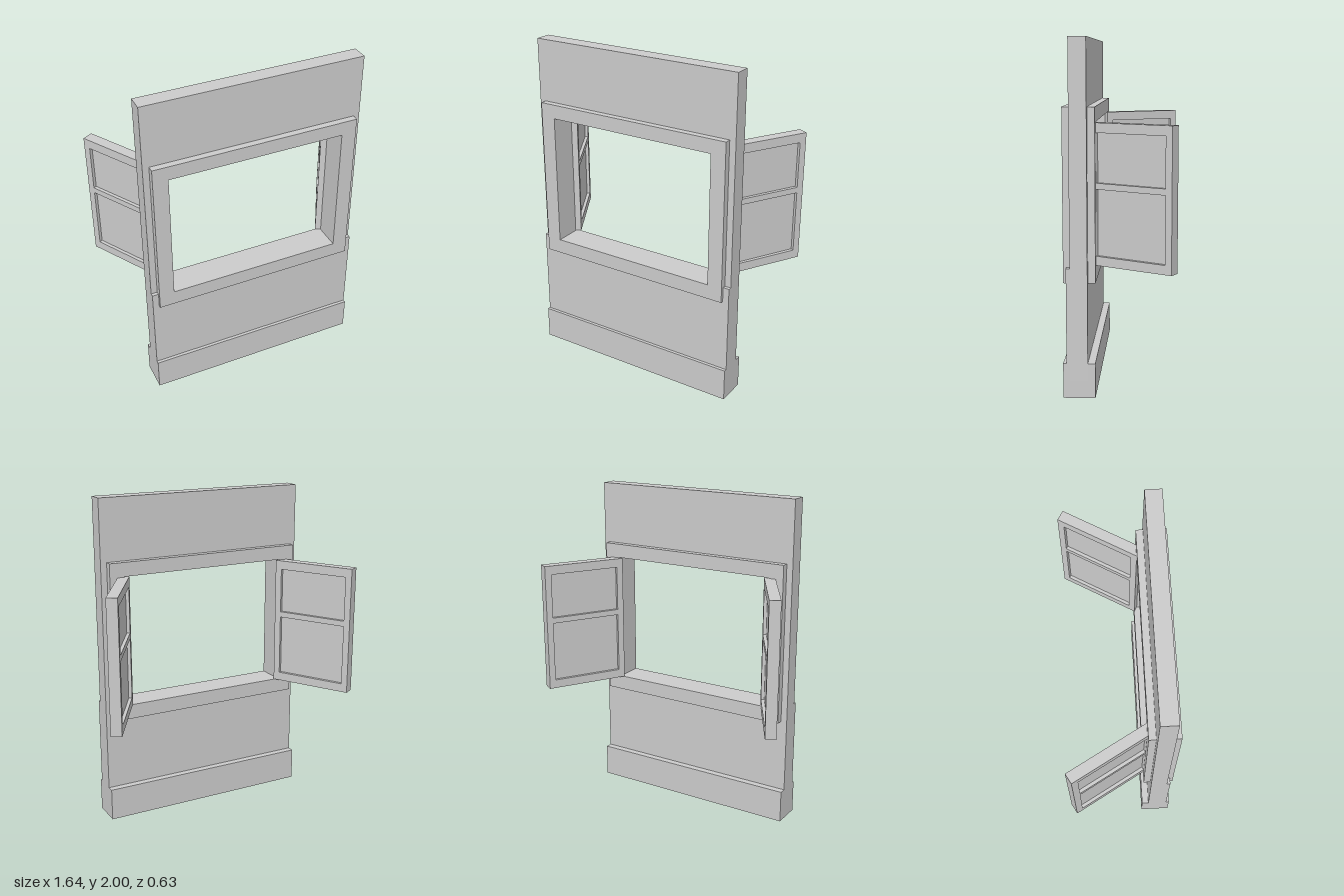
import * as THREE from 'three';

const material = new THREE.MeshStandardMaterial({ color: 0xcccccc, flatShading: true });

// Closed outline from [x, y] points
const outline = (Type, pts) => new Type(pts.map(([x, y]) => new THREE.Vector2(x, y)));
const rect = (Type, x0, x1, y0, y1) => outline(Type, [[x0, y0], [x1, y0], [x1, y1], [x0, y1]]);

// Flat slab from z0 to z1 with optional rectangular holes [x0, x1, y0, y1]
function slab(name, shape, z0, z1, holes = []) {
  holes.forEach((h) => shape.holes.push(rect(THREE.Path, ...h)));
  const geometry = new THREE.ExtrudeGeometry(shape, { depth: z1 - z0, bevelEnabled: false });
  geometry.translate(0, 0, z0);
  const mesh = new THREE.Mesh(geometry, material);
  mesh.name = name;
  return mesh;
}

// Shutter leaf: hinge edge at x = 0, thickness centred on z = 0
const LENGTH = 0.522, THICK = 0.065;
function shutter(name) {
  const leaf = new THREE.Group();
  leaf.name = name;
  leaf.add(slab('shutterFrame', rect(THREE.Shape, 0, LENGTH, 0.742, 1.537), -THICK / 2, THICK / 2, [
    [0.04, LENGTH - 0.04, 0.795, 1.17],
    [0.04, LENGTH - 0.04, 1.205, 1.482],
  ]));
  // Recessed panels seen from both faces
  [[0.785, 1.18], [1.195, 1.49]].forEach(([y0, y1]) =>
    leaf.add(slab('shutterPanel', rect(THREE.Shape, 0.03, LENGTH - 0.03, y0, y1), -0.0125, 0.0125)));
  return leaf;
}

export function createModel() {
  const model = new THREE.Group();
  model.name = 'windowWall';
  const W = 0.665;

  // Wall with its opening hidden behind the window frame
  model.add(slab('wall', rect(THREE.Shape, -W, W, 0.1, 2), 0.178, 0.276, [[-0.58, 0.58, 0.7, 1.58]]));

  // Thicker lower wall, notched around the window
  model.add(slab('lowerWall', outline(THREE.Shape, [
    [-W, 0.1], [W, 0.1], [W, 0.74], [0.58, 0.74], [0.58, 0.7], [-0.58, 0.7], [-0.58, 0.74], [-W, 0.74],
  ]), 0.2, 0.297));

  // Plinth along the floor
  model.add(slab('plinth', rect(THREE.Shape, -W, W, 0, 0.2), 0.136, 0.316));

  // Window frame standing proud on both sides
  model.add(slab('windowFrame', rect(THREE.Shape, -0.627, 0.627, 0.65, 1.625), 0.136, 0.316,
    [[-0.535, 0.535, 0.74, 1.54]]));

  // Open shutters, swung 60 degrees to the back
  for (const side of [1, -1]) {
    const leaf = shutter(side > 0 ? 'leftShutter' : 'rightShutter');
    leaf.rotation.y = side > 0 ? Math.PI / 3 : (2 * Math.PI) / 3;
    leaf.position.set(side * (0.504 + 0.433 * THICK), 0, 0.137 + 0.25 * THICK);
    model.add(leaf);
  }
  return model;
}
